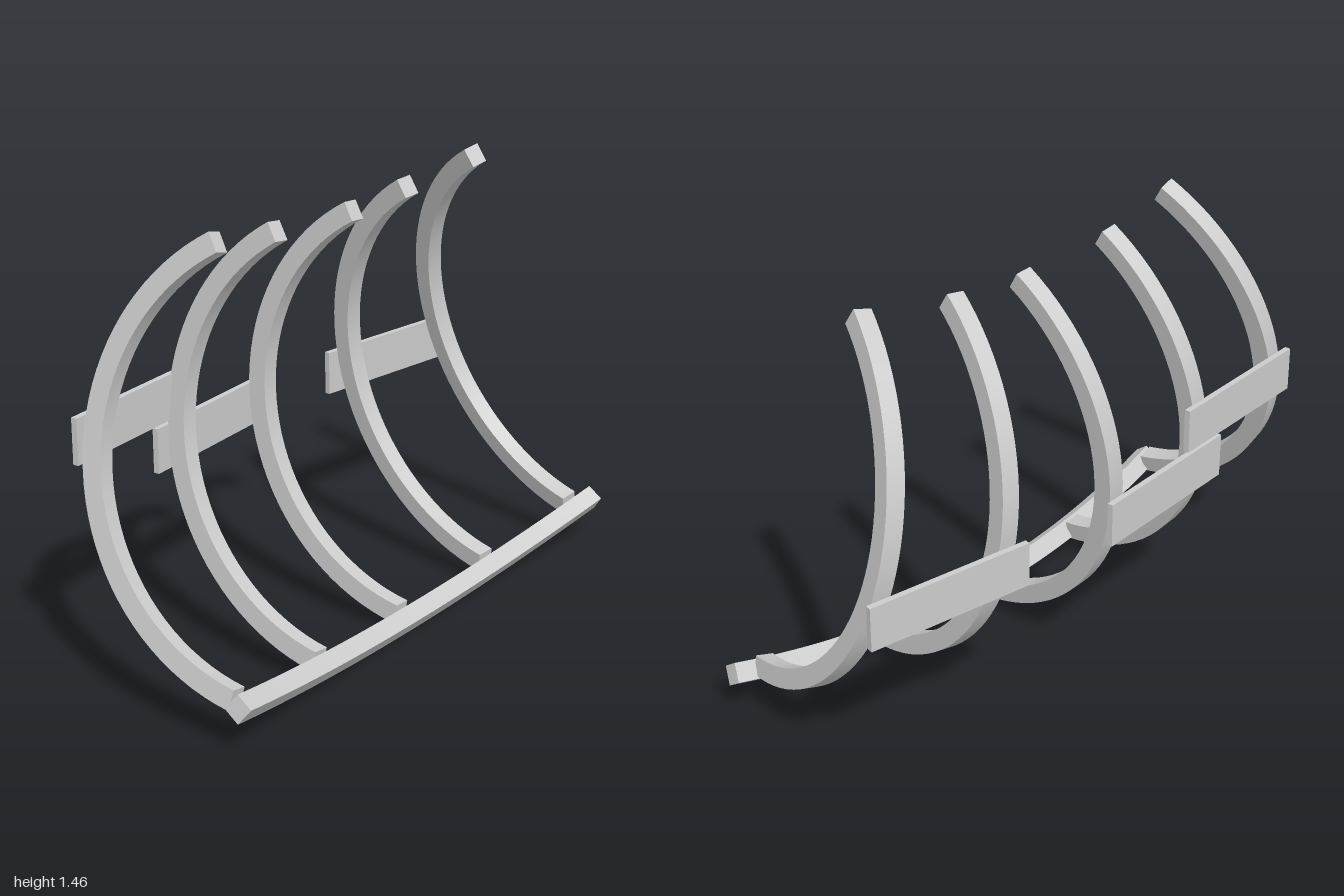
import * as THREE from 'three';
import { toCreasedNormals } from 'three/addons/utils/BufferGeometryUtils.js';

const material = new THREE.MeshStandardMaterial({ color: 0xcccccc });
const V = (p) => new THREE.Vector3(...p);

// Rectangular bar swept along the circular arc through three points.
// depth is measured along the arc's radius, width across the arc's plane.
function arcBar(start, middle, end, depth, width, segments = 40) {
  const a = V(start), ab = V(middle).sub(a), ac = V(end).sub(a);
  const n = ab.clone().cross(ac);
  const centre = n.clone().cross(ab).multiplyScalar(ac.lengthSq())
    .add(ac.clone().cross(n).multiplyScalar(ab.lengthSq()))
    .divideScalar(2 * n.lengthSq()).add(a);
  n.normalize();
  const e1 = a.clone().sub(centre);
  const radius = e1.length();
  e1.normalize();
  const e2 = n.clone().cross(e1);
  const toEnd = V(end).sub(centre);
  let sweep = Math.atan2(toEnd.dot(e2), toEnd.dot(e1));
  if (sweep < 0) sweep += Math.PI * 2;

  const positions = [], index = [];
  for (let i = 0; i <= segments; i++) {
    const t = (sweep * i) / segments;
    const r = e1.clone().multiplyScalar(Math.cos(t)).addScaledVector(e2, Math.sin(t));
    for (const [d, w] of [[1, 1], [-1, 1], [-1, -1], [1, -1]]) {
      const p = centre.clone().addScaledVector(r, radius + (d * depth) / 2).addScaledVector(n, (w * width) / 2);
      positions.push(p.x, p.y, p.z);
    }
    if (i === segments) break;
    for (let k = 0; k < 4; k++) {
      const p = i * 4 + k, q = i * 4 + ((k + 1) % 4);
      index.push(q, p, p + 4, q, p + 4, q + 4);
    }
  }
  const e = segments * 4;
  index.push(0, 1, 2, 0, 2, 3, e, e + 2, e + 1, e, e + 3, e + 2);
  const geometry = new THREE.BufferGeometry();
  geometry.setAttribute('position', new THREE.Float32BufferAttribute(positions, 3));
  geometry.setIndex(index);
  return toCreasedNormals(geometry, 0.6);
}

export function createModel() {
  const model = new THREE.Group();
  const add = (name, geometry) => {
    const mesh = new THREE.Mesh(geometry, material);
    mesh.name = name;
    model.add(mesh);
    return mesh;
  };

  // Curved keel along the bottom
  add('keel', arcBar([-0.988, 0.155, 0.363], [0, 0.048, 0.285], [0.988, 0.155, 0.363], 0.065, 0.062));

  // Ribs: foot, rearmost point and tip of each arc
  const ribs = [
    [[-0.955, 0.165, 0.33], [-0.857, 0.85, -0.272], [-0.665, 1.428, 0.046]],
    [[-0.5, 0.09, 0.28], [-0.425, 0.8, -0.325], [-0.343, 1.382, 0.005]],
    [[-0.045, 0.07, 0.262], [-0.002, 0.78, -0.343], [0.045, 1.362, 0]],
    [[0.425, 0.09, 0.28], [0.44, 0.8, -0.325], [0.33, 1.382, 0.005]],
    [[0.885, 0.16, 0.33], [0.868, 0.85, -0.272], [0.66, 1.428, 0.046]],
  ];
  ribs.forEach((points, i) => add(`rib${i + 1}`, arcBar(...points, 0.066, 0.06)));

  // Planks across the back: start x, z, end x, z, height of centre
  const planks = [
    [-0.92, -0.316, -0.347, -0.366, 0.803],
    [-0.528, -0.352, 0.052, -0.403, 0.64],
    [0.385, -0.372, 0.96, -0.295, 0.64],
  ];
  planks.forEach(([x1, z1, x2, z2, y], i) => {
    const plank = add(`plank${i + 1}`, new THREE.BoxGeometry(Math.hypot(x2 - x1, z2 - z1), 0.152, 0.02));
    plank.position.set((x1 + x2) / 2, y, (z1 + z2) / 2);
    plank.rotation.y = -Math.atan2(z2 - z1, x2 - x1);
  });

  return model;
}
